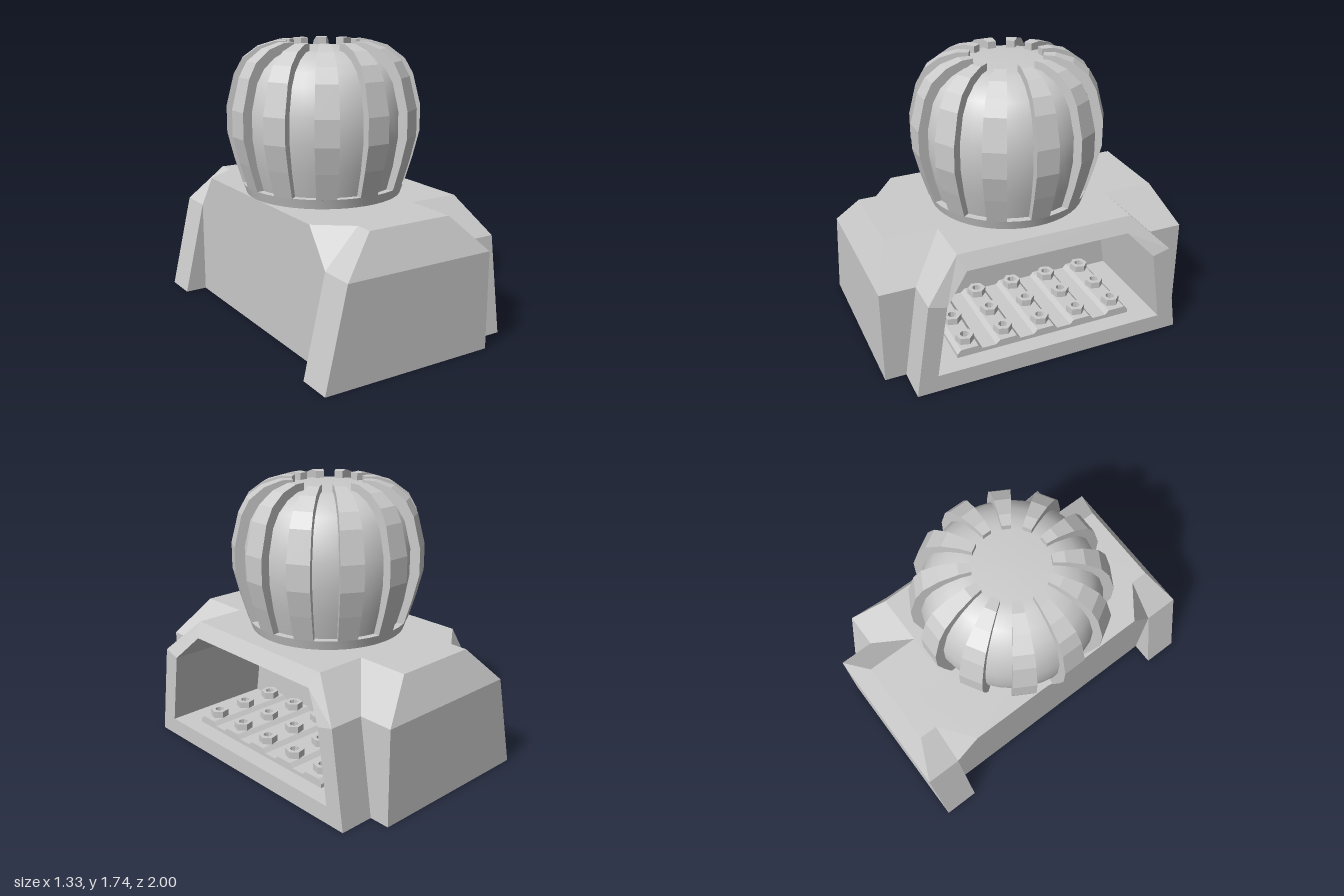
import * as THREE from 'three';
import { toCreasedNormals } from 'three/addons/utils/BufferGeometryUtils.js';
import { ConvexGeometry } from 'three/addons/geometries/ConvexGeometry.js';

const flat = new THREE.MeshStandardMaterial({ color: 0xcccccc, flatShading: true });
const smooth = new THREE.MeshStandardMaterial({ color: 0xcccccc, side: THREE.DoubleSide });

function add(parent, name, geometry, material = flat) {
  const mesh = new THREE.Mesh(geometry, material);
  mesh.name = name;
  parent.add(mesh);
  return mesh;
}

// Box whose bottom and top rectangles [x0, x1, z0, z1] differ
function taperedBlock(y0, r0, y1, r1) {
  const g = new THREE.BoxGeometry(1, 1, 1);
  const p = g.attributes.position;
  for (let i = 0; i < p.count; i++) {
    const up = p.getY(i) > 0, r = up ? r1 : r0;
    p.setXYZ(i, r[p.getX(i) > 0 ? 1 : 0], up ? y1 : y0, r[p.getZ(i) > 0 ? 3 : 2]);
  }
  return g;
}

// Joins loops of equal length with quads
function loft(loops) {
  const n = loops[0].length, index = [];
  for (let k = 0; k < loops.length - 1; k++)
    for (let i = 0; i < n; i++) {
      const a = k * n + i, b = k * n + (i + 1) % n;
      index.push(a, b, b + n, a, b + n, a + n);
    }
  const g = new THREE.BufferGeometry();
  g.setAttribute('position', new THREE.Float32BufferAttribute(loops.flat(2), 3));
  g.setIndex(index);
  const out = g.toNonIndexed();
  out.computeVertexNormals();
  return out;
}

const BACK = -0.05; // depth of the recess

function buildBase() {
  const base = new THREE.Group();
  base.name = 'base';

  // Solid core, with clipped upper corners on the recessed side
  const pts = [];
  for (const s of [-1, 1])
    for (const [x, y, z] of [[-0.53, 0, 0.78], [-0.53, 0.6, 0.78], [-0.53, 0.82, 0.62],
      [-0.32, 0.82, 0.78], [BACK, 0, 0.78], [BACK, 0.82, 0.78]])
      pts.push(new THREE.Vector3(x, y, z * s));
  add(base, 'core', new ConvexGeometry(pts));

  // End buttresses
  for (const s of [-1, 1]) {
    const rect = (x0, x1, a, b) => s > 0 ? [x0, x1, a, b] : [x0, x1, -b, -a];
    const mid = rect(-0.53, 0.44, 0.78, 1);
    add(base, 'buttressWall', taperedBlock(0, rect(-0.67, 0.44, 0.78, 1), 0.6, mid));
    add(base, 'buttressCap', taperedBlock(0.6, mid, 0.82, rect(-0.32, 0.22, 0.56, 0.89)));
  }

  // Hollow frame around the recess; its face leans back above y = 0.6
  const faceX = y => 0.66 - Math.max(0, y - 0.6) * 0.12 / 0.22;
  const ring = (half, x) => [...half.map(([z, y]) => [z, y]),
    ...half.slice().reverse().map(([z, y]) => [-z, y])].map(([z, y]) => [x ?? faceX(y), y, z]);
  const outer = [[0.87, 0], [0.78, 0.6], [0.56, 0.82]];
  const inner = [[0.74, 0.11], [0.67, 0.57], [0.52, 0.73]];
  const frame = loft([ring(outer, BACK), ring(outer), ring(inner), ring(inner, BACK)].map(l => l.reverse()));
  add(base, 'recessFrame', frame, new THREE.MeshStandardMaterial(
    { color: 0xcccccc, flatShading: true, side: THREE.DoubleSide }));
  return base;
}

function buildBoltBed() {
  const bed = new THREE.Group();
  bed.name = 'boltBed';
  const rows = [-0.5, -0.25, 0, 0.25, 0.5];

  // Ribbed plate
  const s = new THREE.Shape();
  s.moveTo(-0.58, 0.1);
  s.lineTo(-0.58, 0.135);
  for (const z of rows)
    for (const [dz, y] of [[-0.08, 0.135], [-0.055, 0.16], [0.055, 0.16], [0.08, 0.135]]) s.lineTo(z + dz, y);
  s.lineTo(0.58, 0.135);
  s.lineTo(0.58, 0.1);
  const plate = new THREE.ExtrudeGeometry(s, { depth: 0.6, bevelEnabled: false });
  plate.rotateY(-Math.PI / 2).translate(0.55, 0, 0);
  add(bed, 'ribbedPlate', plate);

  // Hex nuts
  const hex = new THREE.Shape();
  for (let i = 0; i < 6; i++) {
    const a = i * Math.PI / 3 + 0.25;
    hex[i ? 'lineTo' : 'moveTo'](0.058 * Math.cos(a), 0.058 * Math.sin(a));
  }
  hex.holes.push(new THREE.Path().absarc(0, 0, 0.028, 0, Math.PI * 2, true));
  const nut = new THREE.ExtrudeGeometry(hex, { depth: 0.045, bevelEnabled: false, curveSegments: 4 });
  nut.rotateX(-Math.PI / 2);
  for (const z of rows)
    for (const x of [0.46, 0.245, 0.03]) add(bed, 'nut', nut).position.set(x, 0.158, z);
  return bed;
}

function buildDome() {
  const dome = new THREE.Group();
  dome.name = 'dome';
  dome.position.x = -0.05;
  const lathe = pts => toCreasedNormals(
    new THREE.LatheGeometry(pts.map(p => new THREE.Vector2(...p)), 48), 0.5);

  // Foot ring with a ledge, and the rounded body standing on it
  add(dome, 'footRing', lathe([[0.477, 0.81], [0.5, 0.88], [0.44, 0.88]]), smooth);
  const body = [[0.455, 0.87], [0.5, 1.03], [0.53, 1.2], [0.53, 1.36], [0.49, 1.52],
    [0.44, 1.6], [0.365, 1.66], [0.28, 1.695], [0.22, 1.7]];
  add(dome, 'domeBody', lathe([...body, [0, 1.7]]), smooth);

  // Wedge-shaped ribs that narrow towards the axis
  const edge = [[0.5, 0.88], [0.548, 1.04], [0.587, 1.2], [0.587, 1.36], [0.54, 1.55],
    [0.49, 1.64], [0.397, 1.71], [0.29, 1.743], [0.22, 1.743]];
  const inside = body.slice().reverse().map(([r, y]) => [Math.max(0.22, r - 0.02), y - 0.01]);
  const profile = new THREE.Shape([...edge, ...inside].map(p => new THREE.Vector2(...p)));
  const rib = new THREE.ExtrudeGeometry(profile, { depth: 1, bevelEnabled: false });
  const p = rib.attributes.position;
  for (let i = 0; i < p.count; i++) p.setZ(i, (p.getZ(i) - 0.5) * 0.24 * p.getX(i));
  rib.computeVertexNormals();
  for (let i = 0; i < 12; i++) add(dome, 'rib', rib).rotation.y = i * Math.PI / 6;
  return dome;
}

export function createModel() {
  const model = new THREE.Group();
  model.name = 'ribbedDomeOnBase';
  model.add(buildBase(), buildBoltBed(), buildDome());
  return model;
}
